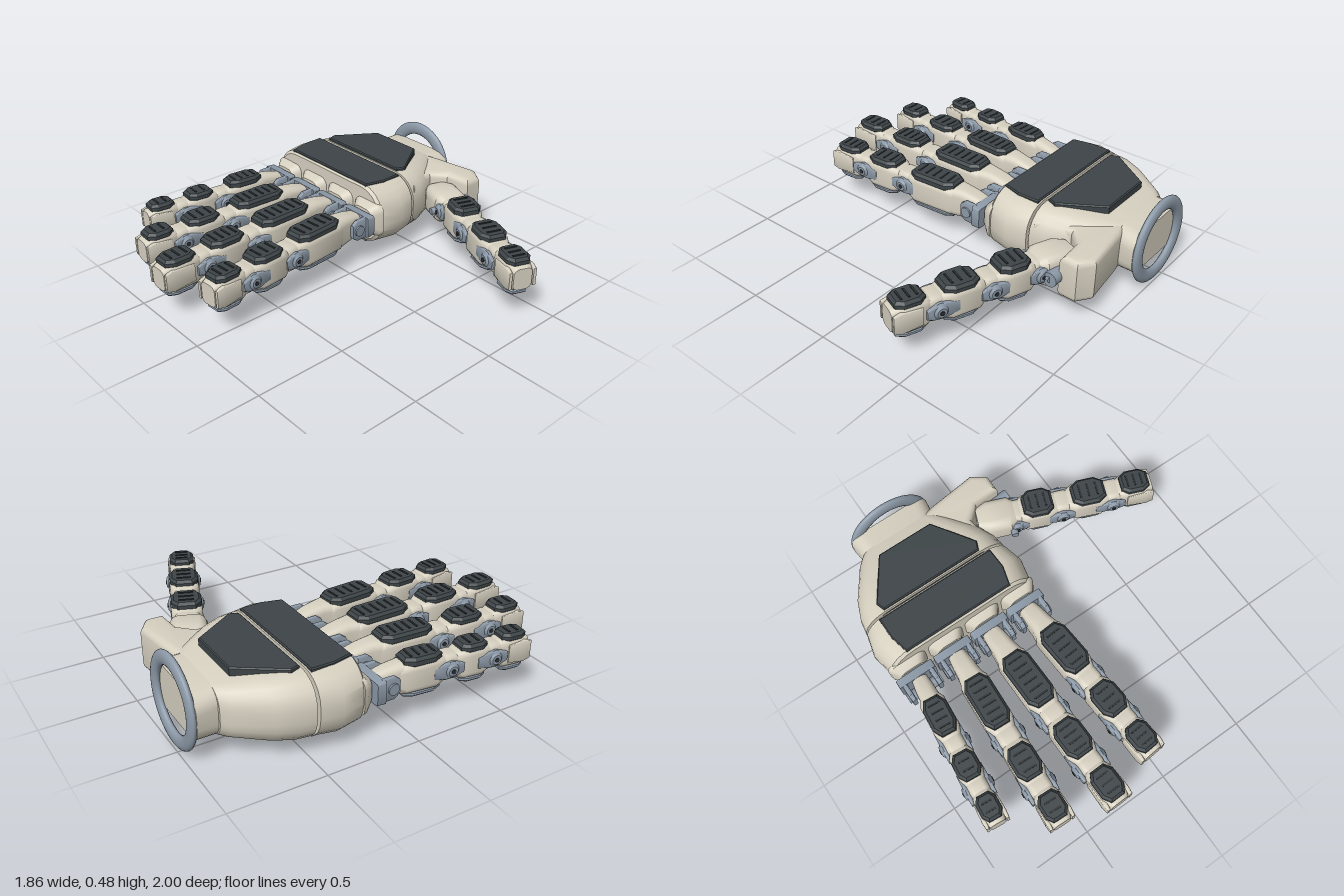
import * as THREE from 'three';
import { toCreasedNormals } from 'three/addons/utils/BufferGeometryUtils.js';

const mat = (color) => new THREE.MeshStandardMaterial({ color });
const CREAM = mat(0xd6d0c0), DARK = mat(0x3d4447), STEEL = mat(0x8d9aa8), BLACK = mat(0x2b3033);
const MID = 0.245; // height of the hand's middle plane

function add(parent, name, geometry, material, x = 0, y = 0, z = 0) {
  const mesh = new THREE.Mesh(geometry, material);
  mesh.name = name;
  mesh.position.set(x, y, z);
  parent.add(mesh);
  return mesh;
}

// Rounded-rectangle cross-sections joined along z: [z, halfWidth, halfHeight, cornerRadius, centreX]
function loft(sections, crease = 0.6) {
  const pos = [], index = [], steps = 5, n = 4 * (steps + 1);
  for (const [z, hw, hh, r, cx = 0] of sections) {
    for (let q = 0; q < 4; q++) {
      const sx = q === 0 || q === 3 ? 1 : -1, sy = q < 2 ? 1 : -1;
      for (let k = 0; k <= steps; k++) {
        const a = (q + k / steps) * Math.PI / 2;
        pos.push(cx + sx * (hw - r) + r * Math.cos(a), sy * (hh - r) + r * Math.sin(a), z);
      }
    }
  }
  const last = sections.length - 1;
  for (let i = 0; i < last; i++) {
    for (let j = 0; j < n; j++) {
      const a = i * n + j, b = i * n + (j + 1) % n;
      index.push(a, b, b + n, a, b + n, a + n);
    }
  }
  for (let j = 1; j < n - 1; j++) {
    index.push(0, j + 1, j, last * n, last * n + j, last * n + j + 1);
  }
  const g = new THREE.BufferGeometry();
  g.setAttribute('position', new THREE.Float32BufferAttribute(pos, 3));
  g.setIndex(index);
  return toCreasedNormals(g, crease);
}

// Horizontal plate from an [x, z] outline, between two heights, with bevelled edges
function plate(outline, y0, y1, bevel, segments = 1) {
  const shape = new THREE.Shape(outline.map(([x, z]) => new THREE.Vector2(x, z)));
  const g = new THREE.ExtrudeGeometry(shape, {
    depth: y1 - y0 - 2 * bevel, bevelThickness: bevel, bevelSize: bevel, bevelOffset: -bevel, bevelSegments: segments,
  });
  g.rotateX(Math.PI / 2);
  g.translate(0, y1 - bevel, 0);
  return segments > 1 ? toCreasedNormals(g, 0.6) : g;
}

// Long octagonal outline for the finger pads
const octagon = (hw, z0, z1) => {
  const c = hw * 0.4, d = Math.min(0.05, (z1 - z0) * 0.25);
  return [[-hw + c, z0], [hw - c, z0], [hw, z0 + d], [hw, z1 - d], [hw - c, z1], [-hw + c, z1], [-hw, z1 - d], [-hw, z0 + d]];
};

const axle = (r, length) => new THREE.CylinderGeometry(r, r, length, 24).rotateZ(Math.PI / 2);

// Pin joint: core, axle, domed caps and fork plates
function joint(parent, hw, z) {
  const g = new THREE.Group();
  g.name = 'fingerJoint';
  g.position.z = z;
  add(g, 'jointCore', loft([[-0.08, hw * 0.6, 0.055, 0.03], [-0.02, hw * 0.78, 0.07, 0.03],
    [0.03, hw * 0.78, 0.07, 0.03], [0.09, hw * 0.6, 0.055, 0.03]]), CREAM);
  add(g, 'jointAxle', axle(0.046, hw * 1.9), STEEL);
  for (const s of [-1, 1]) {
    const cap = new THREE.CylinderGeometry(0.025, 0.046, 0.018, 24).rotateZ(-s * Math.PI / 2);
    add(g, 'jointCap', cap, STEEL, s * (hw * 0.95 + 0.009));
    add(g, 'jointPin', axle(0.012, 0.008), BLACK, s * (hw * 0.95 + 0.018));
    add(g, 'forkPlate', loft([[-0.1, 0.01, 0.03, 0.008], [-0.03, 0.012, 0.045, 0.01],
      [0.03, 0.012, 0.04, 0.01], [0.07, 0.01, 0.025, 0.008]]), STEEL, s * hw * 0.9);
  }
  parent.add(g);
}

// One finger section: shell, grip pad with ridges on top, steel plate beneath
function phalanx(parent, hw, z0, z1, isTip, padTop) {
  const a = z0 - 0.035, b = z1 + (isTip ? 0.02 : 0.025);
  add(parent, 'fingerShell', loft([[a, hw * 0.68, 0.062, 0.03], [a + 0.045, hw * 0.97, 0.08, 0.035],
    [b - 0.06, hw, 0.082, 0.035], [b, hw * 0.72, isTip ? 0.06 : 0.066, 0.03]]), CREAM);
  add(parent, 'gripPad', plate(octagon(hw * 0.94, z0, z1), 0.058, padTop, 0.014), DARK);
  const rows = Math.round((z1 - z0) / 0.045);
  for (let i = 1; i < rows; i++) {
    const z = z0 + (z1 - z0) * i / rows;
    add(parent, 'gripRidge', new THREE.BoxGeometry(hw * 0.95, 0.006, 0.01), BLACK, 0, padTop + 0.001, z);
  }
  add(parent, 'underPlate', plate(octagon(hw * 0.85, z0, z1), -0.102, -0.07, 0.01), STEEL);
  if (isTip) {
    for (const s of [-1, 1]) {
      add(parent, 'tipCheek', loft([[z0 + 0.03, 0.008, 0.05, 0.006], [z1 - 0.02, 0.012, 0.06, 0.008],
        [b, 0.008, 0.05, 0.006]]), CREAM, s * hw * 0.94);
    }
  }
}

function finger(name, x, z, angle, hw, pads) {
  const g = new THREE.Group();
  g.name = name;
  g.position.set(x, MID, z);
  g.rotation.y = angle;
  pads.forEach(([z0, z1], i) => {
    phalanx(g, hw * [1, 0.97, 0.85][i], z0, z1, i === 2, i === 0 ? 0.11 : 0.105);
    if (i > 0) joint(g, hw * 0.97, (pads[i - 1][1] + z0) / 2 - 0.01);
  });
  return g;
}

export function createModel() {
  const hand = new THREE.Group();
  hand.name = 'mechanicalHand';
  const cx = -0.44;

  // Palm in two shells with a dark core between them, narrowing to the wrist
  add(hand, 'palmFront', loft([[-0.468, 0.445, 0.172, 0.14], [-0.36, 0.472, 0.175, 0.15],
    [-0.235, 0.445, 0.175, 0.15], [-0.22, 0.43, 0.16, 0.14]]), CREAM, cx, MID);
  add(hand, 'palmCore', loft([[-0.52, 0.4, 0.15, 0.13], [-0.44, 0.4, 0.15, 0.13]]), BLACK, cx, MID);
  add(hand, 'palmRear', loft([[-0.86, 0.24, 0.125, 0.09], [-0.82, 0.28, 0.135, 0.1], [-0.66, 0.39, 0.16, 0.13],
    [-0.56, 0.43, 0.172, 0.14], [-0.482, 0.442, 0.172, 0.14]]), CREAM, cx, MID);
  add(hand, 'wrist', loft([[-0.97, 0.24, 0.115, 0.08], [-0.82, 0.22, 0.13, 0.08]]), CREAM, cx, MID);
  const ring = add(hand, 'wristRing', new THREE.TorusGeometry(0.203, 0.038, 20, 56), STEEL, cx, 0.243, -0.979);
  ring.scale.z = 0.55;

  // Flat guards: dark on the upper side, steel on the lower side
  const frontGuard = [[-0.79, -0.46], [-0.1, -0.46], [-0.095, -0.34], [-0.125, -0.23], [-0.765, -0.23], [-0.79, -0.34]];
  const rearGuard = [[-0.6, -0.77], [-0.28, -0.77], [-0.13, -0.54], [-0.15, -0.49], [-0.74, -0.49], [-0.755, -0.54]];
  for (const [name, outline, lift] of [['frontGuard', frontGuard, 0], ['rearGuard', rearGuard, 0.005]]) {
    add(hand, name + 'Upper', plate(outline, 0.385, 0.427 + lift, 0.006), DARK);
    add(hand, name + 'Lower', plate(outline, 0.062 - lift, 0.1, 0.006), STEEL);
  }

  // Four fingers: name, x, turn, half width, pad ranges along the finger
  const fingers = [
    ['littleFinger', -0.793, -0.094, 0.07, [[0.02, 0.23], [0.34, 0.49], [0.58, 0.72]]],
    ['ringFinger', -0.556, -0.048, 0.08, [[0.05, 0.35], [0.47, 0.66], [0.75, 0.9]]],
    ['middleFinger', -0.33, 0.022, 0.085, [[0.06, 0.38], [0.5, 0.71], [0.8, 0.98]]],
    ['indexFinger', -0.09, 0.075, 0.083, [[0.05, 0.34], [0.45, 0.64], [0.72, 0.88]]],
  ];
  fingers.forEach(([name, x, turn, hw, pads], i) => {
    const f = finger(name, x, 0, turn, hw, pads);
    add(f, 'fingerRoot', loft([[-0.12, hw * 0.6, 0.06, 0.03], [-0.06, hw * 0.7, 0.075, 0.035],
      [0, hw * 0.75, 0.085, 0.04], [pads[0][0] + 0.03, hw * 0.95, 0.085, 0.04]]), CREAM);
    hand.add(f);

    // Knuckle: tapered socket, cross bar and side brackets
    const k = new THREE.Group();
    k.name = 'knuckle';
    k.position.set(-0.785 + i * 0.23, MID, 0);
    add(k, 'knuckleSocket', loft([[-0.24, 0.11, 0.1, 0.05], [-0.22, 0.105, 0.1, 0.05], [-0.175, 0.07, 0.07, 0.04]]), CREAM);
    add(k, 'knuckleNeck', new THREE.BoxGeometry(0.1, 0.1, 0.04), STEEL, 0, 0, -0.165);
    add(k, 'knuckleBar', loft([[-0.168, 0.108, 0.058, 0.012], [-0.12, 0.108, 0.062, 0.012]]), STEEL);
    for (const s of [-1, 1]) {
      add(k, 'knuckleBracket', loft([[-0.13, 0.013, 0.062, 0.01], [-0.06, 0.013, 0.062, 0.01],
        [-0.03, 0.012, 0.04, 0.01]]), STEEL, s * 0.08);
    }
    add(k, 'knuckleAxle', axle(0.03, 0.205), STEEL, 0, 0, -0.07);
    hand.add(k);
  });

  // Thumb mount growing out of the side of the palm
  add(hand, 'thumbMount', plate([[-0.32, -0.86], [-0.2, -0.89], [0.07, -0.925], [0.15, -0.87], [0.15, -0.77],
    [0.0, -0.76], [-0.07, -0.69], [-0.06, -0.6], [-0.01, -0.5], [-0.2, -0.5]], 0.125, 0.368, 0.035, 4), CREAM);
  add(hand, 'thumbHinge', axle(0.04, 0.22), STEEL, 0.09, MID, -0.75);
  add(hand, 'thumbSupport', new THREE.BoxGeometry(0.1, 0.1, 0.05), STEEL, -0.03, MID, -0.65);

  // Thumb, swung out to the side
  const thumb = finger('thumb', 0.09, -0.66, 1.2, 0.085, [[0.13, 0.3], [0.41, 0.6], [0.69, 0.85]]);
  add(thumb, 'thumbRoot', loft([[-0.13, 0.07, 0.07, 0.04], [-0.07, 0.095, 0.085, 0.05],
    [0.05, 0.095, 0.085, 0.05], [0.1, 0.06, 0.06, 0.03]]), CREAM);
  joint(thumb, 0.085, 0.08);
  add(thumb, 'thumbLink', axle(0.02, 0.25), STEEL, 0, 0, 0.06);
  hand.add(thumb);
  return hand;
}
